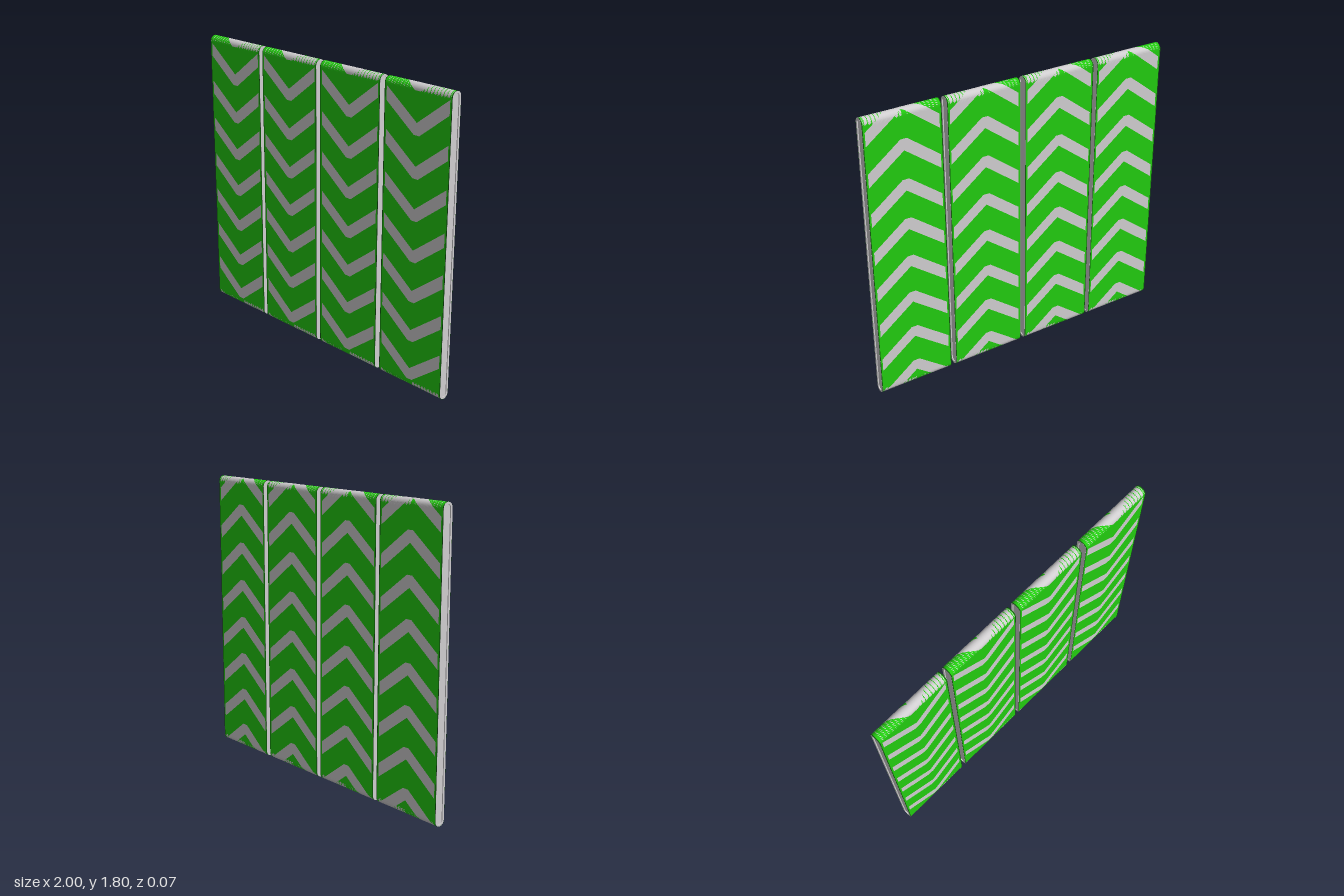
import * as THREE from 'three';

const HEIGHT = 1.8, R = 0.034, WIDTH = 0.476, HALF = WIDTH / 2;
const STRAIGHT = HEIGHT - 2 * R;
const LOOP = 2 * STRAIGHT + 2 * Math.PI * R;
const COUNT = 15, PITCH = LOOP / COUNT, START = 0.012;
const STRIPE_HALF = 0.223, EDGE = 0.233;

const mat = (name, color, side = THREE.FrontSide) => {
  const m = new THREE.MeshStandardMaterial({ color, side });
  m.name = name;
  return m;
};

// Point and normal on the upright rounded loop; s runs up the front, over the top, down the back
function onLoop(s) {
  s = ((s % LOOP) + LOOP) % LOOP;
  const arc = Math.PI * R;
  if (s < STRAIGHT) return { y: R + s, z: R, ny: 0, nz: 1 };
  s -= STRAIGHT;
  if (s < arc) {
    const a = s / R;
    return { y: HEIGHT - R + R * Math.sin(a), z: R * Math.cos(a), ny: Math.sin(a), nz: Math.cos(a) };
  }
  s -= arc;
  if (s < STRAIGHT) return { y: HEIGHT - R - s, z: -R, ny: 0, nz: -1 };
  const a = (s - STRAIGHT) / R;
  return { y: R - R * Math.sin(a), z: -R * Math.cos(a), ny: -Math.sin(a), nz: -Math.cos(a) };
}

// Collects patches of the belt skin between two curves s = low(x) and s = high(x)
class Skin {
  constructor() { this.pos = []; this.nor = []; this.idx = []; }
  patch(x0, x1, low, high, steps) {
    const base = this.pos.length / 3;
    for (let j = 0; j <= steps; j++) {
      for (const x of [x0, x1]) {
        const p = onLoop(THREE.MathUtils.lerp(low(x), high(x), j / steps));
        this.pos.push(x, p.y, p.z);
        this.nor.push(0, p.ny, p.nz);
      }
      if (j < steps) {
        const a = base + 2 * j;
        this.idx.push(a, a + 1, a + 3, a, a + 3, a + 2);
      }
    }
  }
  build() {
    const g = new THREE.BufferGeometry();
    g.setAttribute('position', new THREE.Float32BufferAttribute(this.pos, 3));
    g.setAttribute('normal', new THREE.Float32BufferAttribute(this.nor, 3));
    g.setIndex(this.idx);
    return g;
  }
}

// Chevron outline: lower edge has a blunt tip, upper edge a sharp one
const lower = k => x => START + k * PITCH + Math.max(0, Math.abs(x) - 0.02) * 0.757;
const upper = k => x => START + k * PITCH + 0.07 + Math.abs(x) * 0.752;

function skinGeometries() {
  const field = new Skin(), stripes = new Skin(), border = new Skin();
  const half = [0, 0.02];
  for (let i = 1; i <= 9; i++) half.push(0.02 + (STRIPE_HALF - 0.02) * i / 9);
  half.push(EDGE);
  const xs = [...half.slice(1).reverse().map(x => -x), ...half];
  for (let i = 0; i < xs.length - 1; i++) {
    const x0 = xs[i], x1 = xs[i + 1];
    const striped = Math.abs(x0 + x1) / 2 < STRIPE_HALF;
    for (let k = 0; k < COUNT; k++) {
      (striped ? stripes : field).patch(x0, x1, lower(k), upper(k), 8);
      field.patch(x0, x1, upper(k), lower(k + 1), 14);
    }
  }
  // Thin dark edging along both rims
  for (const [x0, x1] of [[-HALF, -EDGE], [EDGE, HALF]]) {
    border.patch(x0, x1, () => 0, () => LOOP, 400);
  }
  return { field: field.build(), stripes: stripes.build(), border: border.build() };
}

// Upright stadium outline of radius r around the loop's own centre line
function stadium(r, Type = THREE.Shape) {
  const s = new Type();
  s.absarc(0, HEIGHT - R, r, 0, Math.PI, false);
  s.absarc(0, R, r, Math.PI, 2 * Math.PI, false);
  s.closePath();
  return s;
}

function extrudeAcross(shape, width) {
  const g = new THREE.ExtrudeGeometry(shape, { depth: width, bevelEnabled: false, curveSegments: 16 });
  g.translate(0, 0, -width / 2);
  g.rotateY(Math.PI / 2);
  return g;
}

export function createModel() {
  const green = mat('green', 0x22cc10, THREE.DoubleSide);
  const grey = mat('light grey', 0xd0ced0, THREE.DoubleSide);
  const darkGreen = mat('dark green', 0x0f5a0a, THREE.DoubleSide);

  const skin = skinGeometries();
  const rimShape = stadium(R - 0.0008);
  rimShape.holes.push(stadium(R - 0.013, THREE.Path));
  const parts = [
    ['beltField', skin.field, green],
    ['beltChevrons', skin.stripes, grey],
    ['beltEdging', skin.border, darkGreen],
    ['sideRim', extrudeAcross(rimShape, WIDTH), grey],
    ['innerCore', extrudeAcross(stadium(R - 0.0125), WIDTH - 0.012), grey],
  ];

  const model = new THREE.Group();
  model.name = 'chevronPanels';
  [-0.762, -0.257, 0.251, 0.762].forEach((x, i) => {
    const panel = new THREE.Group();
    panel.name = `panel${i + 1}`;
    panel.position.x = x;
    for (const [name, geometry, material] of parts) {
      const mesh = new THREE.Mesh(geometry, material);
      mesh.name = name;
      panel.add(mesh);
    }
    model.add(panel);
  });
  return model;
}
